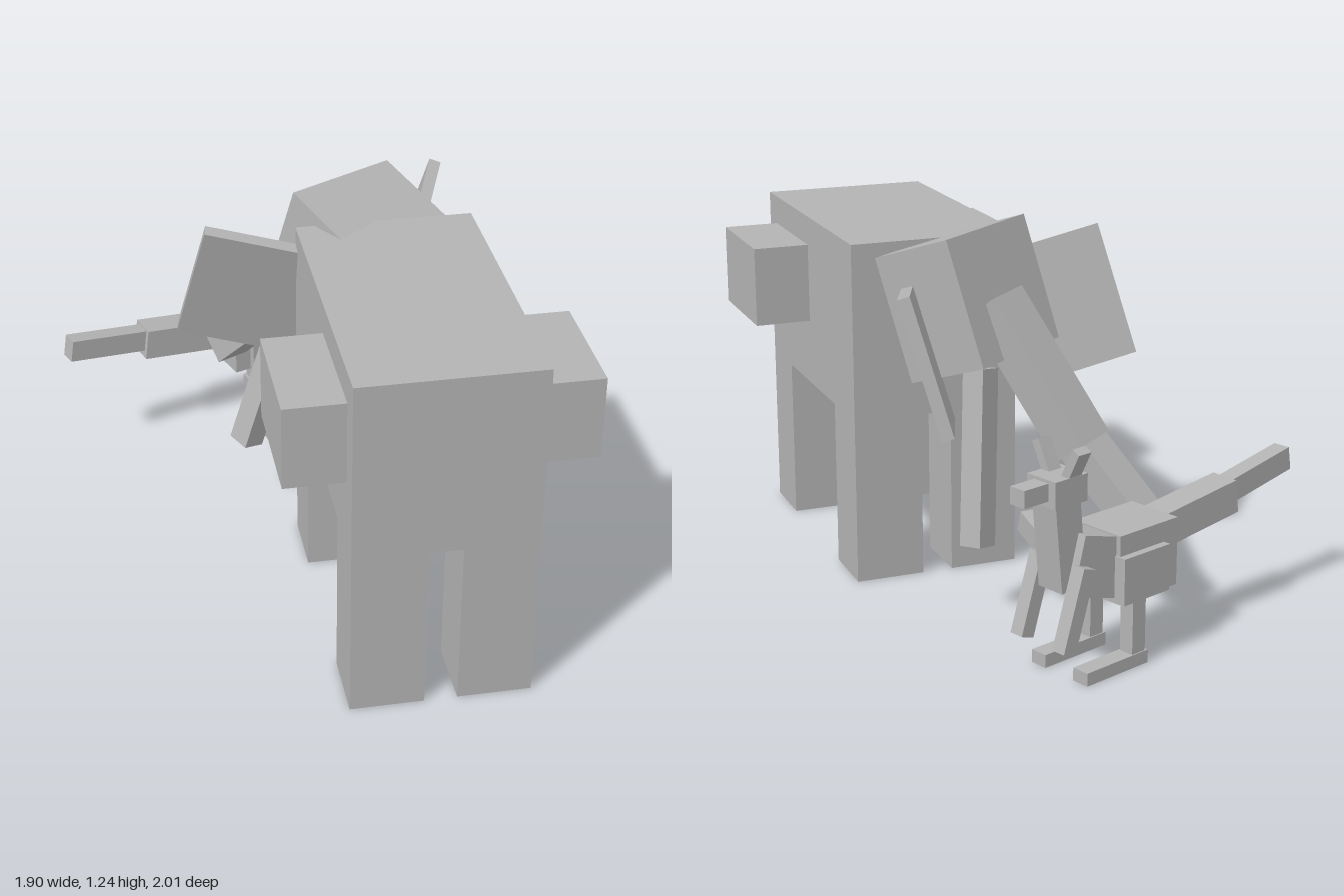
import * as THREE from 'three';

const grey = new THREE.MeshStandardMaterial({ color: 0xb3b3b3 });
grey.name = 'plain grey';

// Axis-aligned block given by its min/max ranges.
function block(parent, name, [x0, x1], [y0, y1], [z0, z1]) {
  const mesh = new THREE.Mesh(new THREE.BoxGeometry(x1 - x0, y1 - y0, z1 - z0), grey);
  mesh.position.set((x0 + x1) / 2, (y0 + y1) / 2, (z0 + z1) / 2);
  mesh.name = name;
  parent.add(mesh);
}

// Box running from one point to another; its width lies along the side direction.
function beam(parent, name, from, to, width, depth, side) {
  const a = new THREE.Vector3(...from), b = new THREE.Vector3(...to);
  const y = b.clone().sub(a);
  const length = y.length();
  y.normalize();
  const x = new THREE.Vector3(...side);
  x.addScaledVector(y, -x.dot(y)).normalize();
  const z = x.clone().cross(y);
  const mesh = new THREE.Mesh(new THREE.BoxGeometry(width, length, depth), grey);
  mesh.quaternion.setFromRotationMatrix(new THREE.Matrix4().makeBasis(x, y, z));
  mesh.position.copy(a).add(b).multiplyScalar(0.5);
  mesh.name = name;
  parent.add(mesh);
}

function createElephantBody() {
  const g = new THREE.Group();
  g.name = 'elephantBody';
  g.position.set(0.37, 0, 0.44);
  g.rotation.y = 0.338;
  const hw = 0.285, hl = 0.483, legW = 0.233, legD = 0.22;
  block(g, 'torso', [-hw, hw], [0.565, 1.16], [-hl, hl]);
  for (const s of [-1, 1]) {
    const span = (a, b) => (s > 0 ? [a, b] : [-b, -a]);
    block(g, 'sidePack', span(hw, 0.474), [0.79, 1.06], [0.01, 0.403]);
    block(g, 'frontLeg', span(hw - legW, hw), [0, 0.565], [-hl, -hl + legD]);
    block(g, 'backLeg', span(hw - legW, hw), [0, 0.565], [hl - legD, hl]);
  }
  return g;
}

function createElephantHead() {
  const g = new THREE.Group();
  g.name = 'elephantHead';
  const across = [-0.62, 0.07, 0.78];
  beam(g, 'head', [0.16, 1.18, -0.075], [0.047, 0.783, -0.146], 0.41, 0.308, across);

  // Ears: square plates, each run along its outward edge
  const ear = (name, c, out, down) => {
    const end = (k) => c.map((v, i) => v + out[i] * 0.1975 * k);
    beam(g, name, end(-1), end(1), 0.45, 0.04, down);
  };
  ear('leftEar', [-0.21, 0.91, 0.07], [-0.95, 0.24, 0.2], [-0.28, -0.94, -0.22]);
  ear('rightEar', [0.24, 0.86, -0.435], [0.025, 0.15, -0.985], [-0.29, -0.95, -0.14]);

  beam(g, 'upperTrunk', [0.02, 1.0, -0.22], [-0.25, 0.56, -0.38], 0.15, 0.13, across);
  beam(g, 'lowerTrunk', [-0.23, 0.59, -0.35], [-0.42, 0.36, -0.49], 0.127, 0.11, across);
  beam(g, 'leftTusk', [-0.1, 0.8, -0.06], [-0.25, 0.28, 0.0], 0.08, 0.08, across);
  beam(g, 'rightTusk', [0.07, 0.8, -0.3], [0.085, 0.24, -0.41], 0.08, 0.08, across);
  return g;
}

function createSmallAnimal() {
  const g = new THREE.Group();
  g.name = 'smallAnimal';
  // Local +x points forward, +z to one side
  g.position.set(-0.36, 0, -0.69);
  g.rotation.y = Math.atan2(0.643, 0.766);
  const side = [0, 0, 1];
  block(g, 'haunch', [-0.125, 0.125], [0.21, 0.43], [-0.097, 0.097]);
  beam(g, 'belly', [0.1, 0.32, 0], [0.28, 0.37, 0], 0.16, 0.19, side);
  beam(g, 'neck', [0.27, 0.29, 0], [0.3, 0.58, 0], 0.1, 0.1, side);
  block(g, 'head', [0.23, 0.36], [0.56, 0.645], [-0.06, 0.06]);
  block(g, 'snout', [0.35, 0.455], [0.58, 0.635], [-0.03, 0.03]);
  for (const s of [-1, 1]) {
    beam(g, 'ear', [0.28, 0.62, 0.03 * s], [0.28, 0.73, 0.085 * s], 0.03, 0.05, side);
    beam(g, 'arm', [0.27, 0.37, 0.09 * s], [0.35, 0.12, 0.09 * s], 0.05, 0.05, side);
    beam(g, 'thigh', [-0.065, 0.29, 0.09 * s], [0.13, 0.29, 0.09 * s], 0.064, 0.15, side);
    block(g, 'leg', [0.03, 0.085], [0.03, 0.24], [0.09 * s - 0.026, 0.09 * s + 0.026]);
    block(g, 'foot', [0.02, 0.28], [0, 0.042], [0.09 * s - 0.03, 0.09 * s + 0.03]);
  }
  return g;
}

export function createModel() {
  const model = new THREE.Group();
  model.name = 'elephantAndSmallAnimal';
  model.add(createElephantBody(), createElephantHead(), createSmallAnimal());
  // Two-part tail of the small animal
  const across = [0.643, 0, 0.766];
  beam(model, 'tailBase', [-0.41, 0.355, -0.63], [-0.71, 0.405, -0.395], 0.1, 0.11, across);
  beam(model, 'tailTip', [-0.69, 0.41, -0.41], [-0.925, 0.46, -0.205], 0.06, 0.078, across);
  // Loose bar hanging below the head
  beam(model, 'lowBar', [-0.1, 0.21, -0.09], [-0.24, 0.115, -0.39], 0.08, 0.075, [0.9, 0, -0.42]);
  return model;
}
